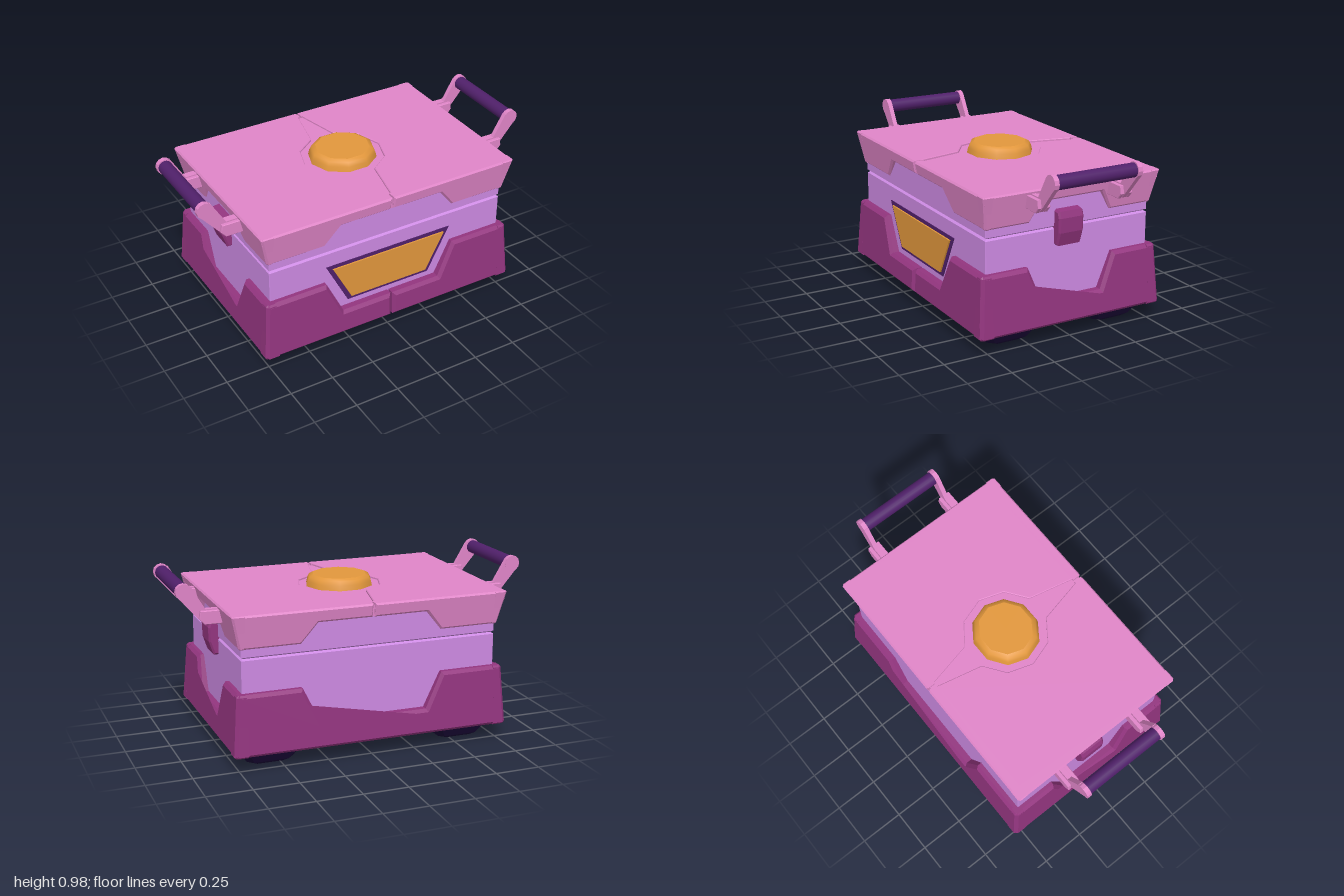
import * as THREE from 'three';

const paint = (name, color) => {
  const m = new THREE.MeshStandardMaterial({ color });
  m.name = name;
  return m;
};

export function createModel() {
  const root = new THREE.Group();
  root.name = 'storageChest';
  const pink = paint('pink', 0xe085c8), lilac = paint('lilac', 0xcd8ae3), magenta = paint('magenta', 0x93357f);
  const gold = paint('gold', 0xe2973c), plum = paint('plum', 0x50206a), navy = paint('dark navy', 0x1a0838);

  const add = (name, geo, mat, parent = root) => {
    const mesh = new THREE.Mesh(geo, mat);
    mesh.name = name;
    parent.add(mesh);
    return mesh;
  };
  const flat = (geo) => {
    const g = geo.toNonIndexed();
    g.computeVertexNormals();
    return g;
  };
  const shapeOf = (pts) => new THREE.Shape(pts.map(([x, y]) => new THREE.Vector2(x, y)));
  const mirror = (pts) => pts.map(([x, y]) => [-x, y]).reverse();
  // Extrusion kept inside its outline, from z = z0 to z1, with chamfered edges
  const slab = (pts, z0, z1, b = 0) => new THREE.ExtrudeGeometry(shapeOf(pts), {
    depth: z1 - z0 - 2 * b, bevelEnabled: b > 0, bevelSize: b, bevelThickness: b, bevelOffset: -b, bevelSegments: 1,
  }).translate(0, 0, z0 + b);

  // Stack of rectangles [halfX, halfZ, y] with corners cut by c
  const loft = (levels, c) => {
    const pos = [], idx = [], n = 8;
    for (const [x, z, y] of levels) {
      for (const [u, v] of [[x, z - c], [x - c, z], [c - x, z], [-x, z - c], [-x, c - z], [c - x, -z], [x - c, -z], [x, c - z]]) pos.push(u, y, v);
    }
    for (let l = 0; l < levels.length - 1; l++) {
      for (let i = 0; i < n; i++) {
        const a = l * n + i, b = l * n + (i + 1) % n;
        idx.push(a, a + n, b, b, a + n, b + n);
      }
    }
    const top = (levels.length - 1) * n;
    for (let i = 1; i < n - 1; i++) idx.push(0, i, i + 1, top, top + i + 1, top + i);
    const g = new THREE.BufferGeometry();
    g.setAttribute('position', new THREE.Float32BufferAttribute(pos, 3));
    g.setIndex(idx);
    return flat(g);
  };

  // Body with a groove at the lid line
  add('body', loft([[0.725, 0.495, 0.1], [0.725, 0.495, 0.602], [0.712, 0.482, 0.611],
    [0.725, 0.495, 0.62], [0.725, 0.495, 0.8]], 0.004), lilac);

  // Feet
  for (const sx of [1, -1]) {
    for (const sz of [1, -1]) {
      add('foot', loft([[0.105, 0.1, 0], [0.13, 0.13, 0.02], [0.172, 0.17, 0.09], [0.172, 0.17, 0.11]], 0.035), navy)
        .position.set(sx * 0.557, 0, sz * 0.325);
    }
  }

  // Sloped armour panel: the outer face leans from distance a at yA to b at yB
  const panel = (pts, s, a, b, inner) => {
    const g = slab(pts, 0, 1, s.bevel), p = g.attributes.position;
    for (let i = 0; i < p.count; i++) {
      const outer = THREE.MathUtils.mapLinear(p.getY(i), s.yA, s.yB, a, b), z = p.getZ(i);
      p.setZ(i, z < 0.5 ? inner : z > 0.995 ? outer : outer - s.bevel);
    }
    g.computeVertexNormals();
    return g;
  };
  // Four panels round the body, each with a trapezoid cutout
  const skirt = (s) => {
    const k = 0.55 * s.bevel, up = Math.sign(s.yB - s.yA) * k;
    const half = ([a, b], [c0, c1]) => [[a - k, s.yA], [a, s.yA + up], [b, s.yB - up], [b - k, s.yB], [c0, s.yB], [c1, s.cutY]];
    const long = half(s.x, s.cutX), short = half(s.z, s.cutZ);
    for (const angle of [0, Math.PI]) {
      const split = angle === 0 || s.splitBack;
      const part = [[0.005, s.yA], ...long, [0.005, s.cutY]];
      const outlines = split ? [part, mirror(part)] : [[...long, ...mirror(long)]];
      for (const o of outlines) add(s.name + 'Panel', panel(o, s, ...s.z, 0.48), s.mat).rotation.y = angle;
      add(s.name + 'SidePanel', panel([...short, ...mirror(short)], s, ...s.x, 0.71), s.mat).rotation.y = angle + Math.PI / 2;
    }
  };
  skirt({ name: 'base', mat: magenta, bevel: 0.017, yA: 0.09, yB: 0.427, cutY: 0.23, x: [0.787, 0.762], z: [0.557, 0.535],
    cutX: [0.4, 0.305], cutZ: [0.26, 0.18], splitBack: false });
  skirt({ name: 'lid', mat: pink, bevel: 0.01, yA: 0.85, yB: 0.663, cutY: 0.775, x: [0.78, 0.738], z: [0.535, 0.505],
    cutX: [0.4, 0.31], cutZ: [0.245, 0.185], splitBack: true });

  // Lid top: a lower deck under two plates that leave a star-shaped recess
  add('lidDeck', new THREE.BoxGeometry(1.5, 0.06, 1.03).translate(0, 0.808, 0), pink);
  const plate = [[0.005, -0.523], [0.768, -0.523], [0.768, 0.523], [0.005, 0.523]];
  for (let i = 2; i >= -2; i--) plate.push([0.235 * Math.cos(i * Math.PI / 5), 0.235 * Math.sin(i * Math.PI / 5)]);
  for (const o of [plate, mirror(plate)]) {
    add('lidPlate', slab(o, 0.8, 0.85, 0.004).rotateX(-Math.PI / 2), pink);
  }

  // Ten-sided button, slightly narrower front to back
  const button = new THREE.Group();
  button.name = 'topButton';
  button.scale.z = 0.96;
  root.add(button);
  const profile = [[0.195, 0.83], [0.187, 0.865], [0.176, 0.888], [0.153, 0.9]].map(([x, y]) => new THREE.Vector2(x, y));
  add('buttonSide', new THREE.LatheGeometry(profile, 10, Math.PI / 2), gold, button);
  add('buttonTop', new THREE.CircleGeometry(0.153, 10).rotateX(-Math.PI / 2).translate(0, 0.9, 0), gold, button);

  // Front window
  const trapezoid = (top, y1, bottom, y0) => [[-bottom, y0], [bottom, y0], [top, y1], [-top, y1]];
  add('windowFrame', slab(trapezoid(0.39, 0.52, 0.257, 0.263), 0.49, 0.499), plum);
  add('window', slab(trapezoid(0.352, 0.499, 0.238, 0.283), 0.4985, 0.508), gold);

  // Carry handle and latch, repeated on both ends
  const armShape = [[0.77, 0.757], [0.855, 0.757], [0.888, 0.79], [0.99, 0.909], [0.918, 0.96], [0.842, 0.832], [0.77, 0.832]];
  const cheekShape = [[0.74, 0.755], [0.855, 0.755], [0.882, 0.785], [0.875, 0.828], [0.74, 0.828]];
  const latchShape = [[0.7, 0.715], [0.765, 0.705], [0.778, 0.67], [0.775, 0.59], [0.75, 0.515], [0.7, 0.515]];
  for (const angle of [0, Math.PI]) {
    const end = new THREE.Group();
    end.name = 'endFittings';
    end.rotation.y = angle;
    root.add(end);
    for (const s of [1, -1]) {
      const z = s * 0.248;
      add('handleArm', slab(armShape, z - 0.013, z + 0.013), pink, end);
      add('handleKnuckle', flat(new THREE.CylinderGeometry(0.045, 0.045, 0.027, 12)).rotateX(Math.PI / 2), pink, end)
        .position.set(0.954, 0.931, z);
      for (const d of [-0.025, 0.025]) add('handleBracket', slab(cheekShape, z + d - 0.011, z + d + 0.011, 0.003), pink, end);
    }
    add('handleGrip', new THREE.CylinderGeometry(0.038, 0.038, 0.48, 20).rotateX(Math.PI / 2), plum, end)
      .position.set(0.954, 0.931, 0);
    add('latch', slab(latchShape, -0.06, 0.09, 0.01), magenta, end);
  }
  return root;
}
